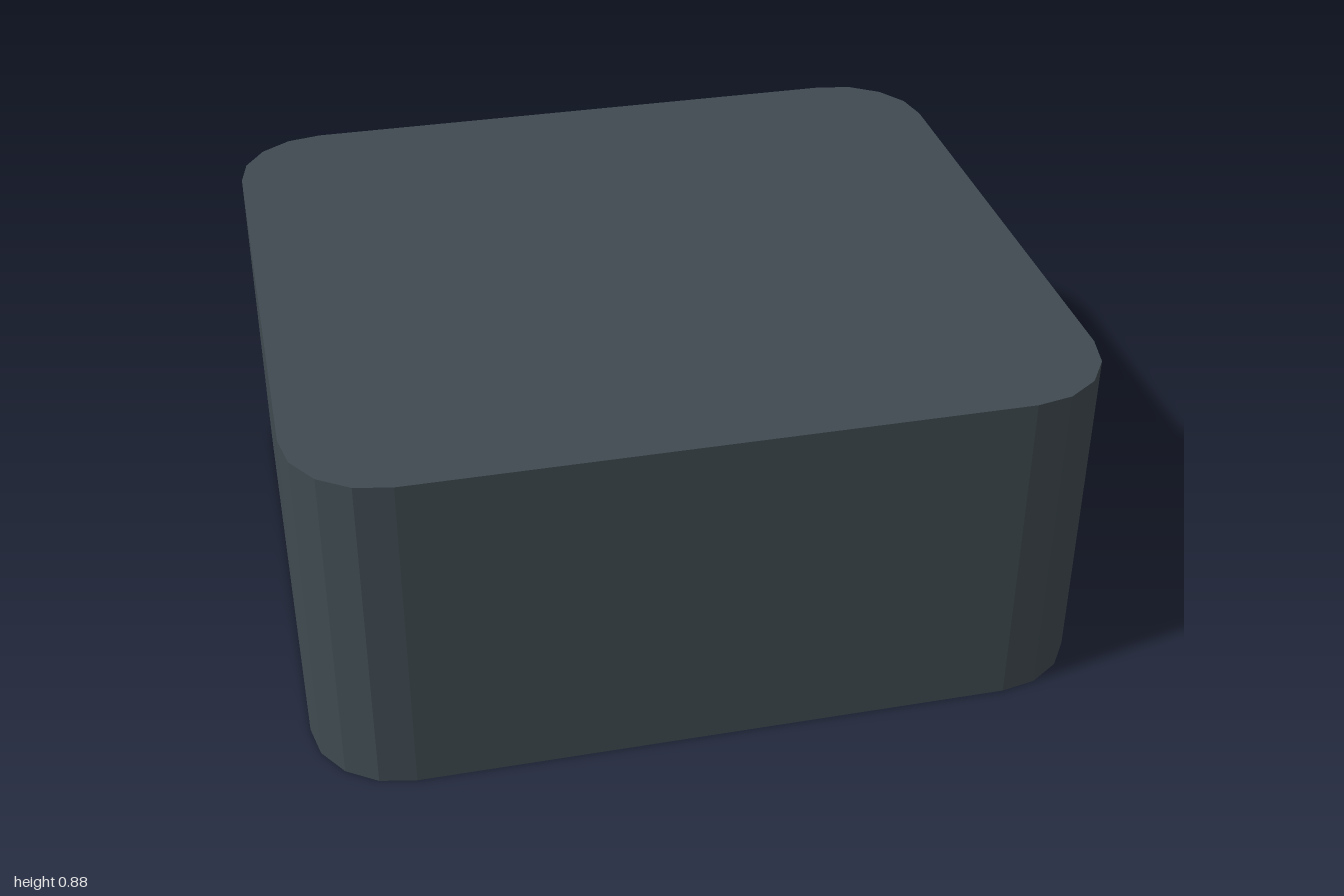
import * as THREE from 'three';

const H = 0.885, HX = 1, HZ = 0.9, R = 0.24, WALL = 0.05, SLAB = 0.025;
const PANEL = 0.4; // half width of the doorway panel

const mat = (color, extra = {}) => new THREE.MeshStandardMaterial({ color, flatShading: true, ...extra });

// Rounded-rectangle plan as [x, z] points, starting and ending on the back side at x = +-gap
function plan(inset, gap) {
  const hx = HX - inset, hz = HZ - inset, r = Math.max(R - inset, 0.03);
  const pts = [[gap, -hz]];
  [[1, -1], [1, 1], [-1, 1], [-1, -1]].forEach(([sx, sz], c) => {
    for (let i = 0; i <= 4; i++) {
      const a = -Math.PI / 2 + (c + i / 4) * Math.PI / 2;
      pts.push([sx * (hx - r) + r * Math.cos(a), sz * (hz - r) + r * Math.sin(a)]);
    }
  });
  pts.push([-gap, -hz]);
  return pts;
}

const toShape = pts => new THREE.Shape(pts.map(p => new THREE.Vector2(...p)));

// Upright prism over a plan, from y0 to y1
function prism(pts, y0, y1) {
  const g = new THREE.ExtrudeGeometry(toShape(pts), { depth: y1 - y0, bevelEnabled: false });
  return g.rotateX(Math.PI / 2).translate(0, y1, 0);
}

// Doorway outline: straight jambs with a rounded head, from left foot to right foot
function arch(half, top, r, y0) {
  const pts = [[-half, y0]], n = 8;
  for (const s of [-1, 1])
    for (let i = 0; i <= n; i++) {
      const a = s < 0 ? Math.PI - i / n * Math.PI / 2 : Math.PI / 2 - i / n * Math.PI / 2;
      pts.push([s * (half - r) + r * Math.cos(a), top - r + r * Math.sin(a)]);
    }
  pts.push([half, y0]);
  return pts;
}

// Strips joining open or closed rings of equal point count
function loft(rings, closed) {
  const pos = [];
  for (let k = 0; k + 1 < rings.length; k++) {
    const a = rings[k], b = rings[k + 1], n = a.length;
    for (let i = 0; i < (closed ? n : n - 1); i++) {
      const j = (i + 1) % n;
      pos.push(...a[i], ...a[j], ...b[i], ...a[j], ...b[j], ...b[i]);
    }
  }
  const g = new THREE.BufferGeometry();
  g.setAttribute('position', new THREE.Float32BufferAttribute(pos, 3));
  g.computeVertexNormals();
  return g;
}

export function createModel() {
  const model = new THREE.Group();
  model.name = 'shelterBox';
  const shell = mat(0x3f4a50), dark = mat(0x1f3640);
  const lining = mat(0xcfc2ac, { side: THREE.DoubleSide });
  const add = (name, geo, material) => {
    const m = new THREE.Mesh(geo, material);
    m.name = name;
    model.add(m);
  };

  // Outer shell: base, walls left open at the back, and roof
  add('base', prism(plan(0, PANEL), 0, SLAB), shell);
  add('walls', prism([...plan(0, PANEL), ...plan(WALL, PANEL).reverse()], SLAB, H - SLAB), shell);
  add('roof', prism(plan(0, PANEL), H - SLAB, H), shell);

  // Back panel around the doorway
  const panel = [[-PANEL, SLAB], ...arch(0.28, 0.54, 0.19, SLAB), [PANEL, SLAB],
    [PANEL, H - SLAB], [-PANEL, H - SLAB]];
  add('doorwayPanel', new THREE.ExtrudeGeometry(toShape(panel), { depth: WALL, bevelEnabled: false })
    .translate(0, 0, -HZ), shell);

  // Arched trim standing slightly proud of the wall
  const trim = [...arch(0.29, 0.55, 0.2, 0), ...arch(0.265, 0.525, 0.175, 0).reverse()];
  add('doorwayTrim', new THREE.ExtrudeGeometry(toShape(trim), { depth: 0.08, bevelEnabled: false })
    .translate(0, 0, -HZ - 0.008), dark);

  // Interior: lining walls, coved upper edge, ceiling and floor
  const inset = WALL + 0.005, cove = 0.13, ceil = H - SLAB - 0.01;
  const ring = (d, y) => plan(d, 0.28).map(([x, z]) => [x, y, z]);
  add('liningWalls', loft([ring(inset, SLAB), ring(inset, 0.54)], false), lining);
  const upper = [ring(inset, 0.54)];
  for (let i = 0; i <= 5; i++) {
    const a = i / 5 * Math.PI / 2;
    upper.push(ring(inset + cove * (1 - Math.cos(a)), ceil - cove + cove * Math.sin(a)));
  }
  add('liningCove', loft(upper, true), lining);
  add('ceiling', new THREE.ShapeGeometry(toShape(plan(inset + cove, 0.28)))
    .rotateX(Math.PI / 2).translate(0, ceil, 0), lining);
  add('floor', prism(plan(inset, 0.28), SLAB, SLAB + 0.01), dark);

  return model;
}
